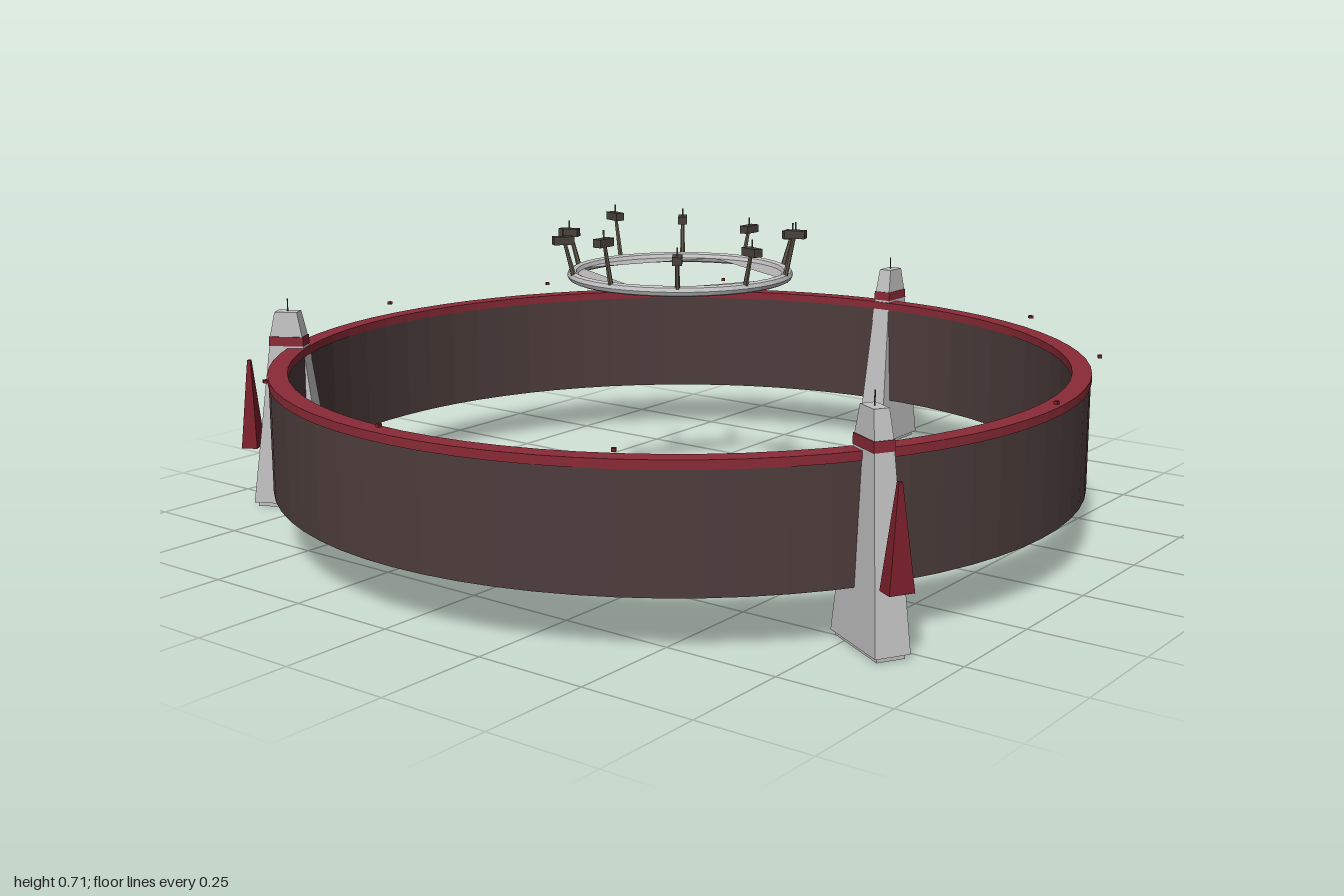
import * as THREE from 'three';

const mat = (name, color, extra = {}) => {
  const m = new THREE.MeshStandardMaterial({ color, flatShading: true, ...extra });
  m.name = name;
  return m;
};

const wallBrown = mat('wall brown', 0x4d3d3c);
const trimRed = mat('trim red', 0x8a2a36);
const finRed = mat('fin red', 0x7c1f2a);
const paleGrey = mat('pale grey', 0xc2c2c2);
const plateGrey = mat('plate grey', 0xb4b4b4, { side: THREE.DoubleSide });
const lampBrown = mat('lamp brown', 0x4a423b);
const postBrown = mat('post brown', 0x625a4c);

function part(parent, name, geometry, material, x = 0, y = 0, z = 0) {
  const mesh = new THREE.Mesh(geometry, material);
  mesh.name = name;
  mesh.position.set(x, y, z);
  parent.add(mesh);
  return mesh;
}

// Closed band of rectangular section
function band(rIn, rOut, y0, y1, sides = 72) {
  const p = [[rIn, y0], [rOut, y0], [rOut, y1], [rIn, y1], [rIn, y0]];
  return new THREE.LatheGeometry(p.map(([x, y]) => new THREE.Vector2(x, y)), sides);
}

// Box standing between y0 and y1 whose top is scaled to another size
function taperedBox(w0, d0, w1, d1, y0, y1) {
  const g = new THREE.BoxGeometry(1, y1 - y0, 1);
  g.translate(0, (y0 + y1) / 2, 0);
  const p = g.attributes.position;
  for (let i = 0; i < p.count; i++) {
    const top = p.getY(i) > (y0 + y1) / 2;
    p.setX(i, p.getX(i) * (top ? w1 : w0));
    p.setZ(i, p.getZ(i) * (top ? d1 : d0));
  }
  g.computeVertexNormals();
  return g;
}

// Support pylon with its detached outer fin, x pointing outward
function pylon() {
  const g = new THREE.Group();
  g.name = 'pylon';
  const r = 0.93;
  part(g, 'pylonFoot', taperedBox(0.165, 0.06, 0.165, 0.06, 0, 0.012), paleGrey, r);
  part(g, 'pylonBody', taperedBox(0.18, 0.075, 0.082, 0.043, 0.01, 0.39), paleGrey, r);
  part(g, 'pylonBand', taperedBox(0.084, 0.046, 0.082, 0.045, 0.39, 0.412), trimRed, r);
  part(g, 'pylonCap', taperedBox(0.078, 0.041, 0.054, 0.033, 0.412, 0.47), paleGrey, r);
  part(g, 'pylonMast', new THREE.CylinderGeometry(0.0015, 0.0015, 0.03, 5), lampBrown, r, 0.485);
  part(g, 'pylonFin', taperedBox(0.038, 0.054, 0.008, 0.008, 0.14, 0.35), finRed, r + 0.1);
  return g;
}

// Segment between the ring and a quarter-turn chord, lying flat
function gusset(radius, start) {
  const s = new THREE.Shape();
  s.absarc(0, 0, radius, start, start + Math.PI / 2, false);
  return new THREE.ShapeGeometry(s, 12).rotateX(-Math.PI / 2);
}

export function createModel() {
  const model = new THREE.Group();
  model.name = 'ringStation';
  const hub = new THREE.Group();
  hub.name = 'ringAssembly';
  hub.position.x = -0.05;
  model.add(hub);

  // Large outer ring
  part(hub, 'ringWall', band(0.887, 0.926, 0.12, 0.368), wallBrown);
  part(hub, 'ringTrim', band(0.885, 0.928, 0.366, 0.385), trimRed);

  // Three pylons, with small marker lights between them
  for (let i = 0; i < 12; i++) {
    const a = (i * Math.PI) / 6;
    if (i % 4 === 0) {
      const p = pylon();
      p.rotation.y = a;
      hub.add(p);
    } else {
      const m = part(hub, 'markerLight', new THREE.BoxGeometry(0.009, 0.007, 0.009), finRed,
        0.947 * Math.cos(a), 0.408, -0.947 * Math.sin(a));
      m.rotation.y = a;
    }
  }

  // Floating inner ring with four flat gussets
  const inner = new THREE.Group();
  inner.name = 'innerRing';
  hub.add(inner);
  const tube = new THREE.TorusGeometry(0.245, 0.012, 8, 40).rotateX(Math.PI / 2);
  part(inner, 'innerRingTube', tube, paleGrey, 0, 0.578);
  for (let i = 0; i < 4; i++) {
    part(inner, 'gusset', gusset(0.242, Math.PI / 10 + (i * Math.PI) / 2), plateGrey, 0, 0.578);
  }

  // Ten lamps on leaning posts around the inner ring
  const heights = [0.65, 0.665, 0.68, 0.66, 0.665, 0.68, 0.65, 0.66, 0.68, 0.655];
  heights.forEach((h, i) => {
    const lamp = new THREE.Group();
    lamp.name = 'lamp';
    lamp.rotation.y = (i * Math.PI) / 5;
    inner.add(lamp);
    const lean = 0.022;
    const rise = h - 0.58;
    const post = part(lamp, 'lampPost',
      new THREE.CylinderGeometry(0.004, 0.006, Math.hypot(rise, lean), 6), postBrown,
      0.248 + lean / 2, 0.58 + rise / 2);
    post.rotation.z = -Math.atan2(lean, rise);
    part(lamp, 'lampHead', new THREE.BoxGeometry(0.046, 0.018, 0.021), lampBrown, 0.272, h);
    part(lamp, 'lampTip', new THREE.CylinderGeometry(0.002, 0.002, 0.02, 5), postBrown, 0.272, h + 0.017);
  });

  return model;
}
